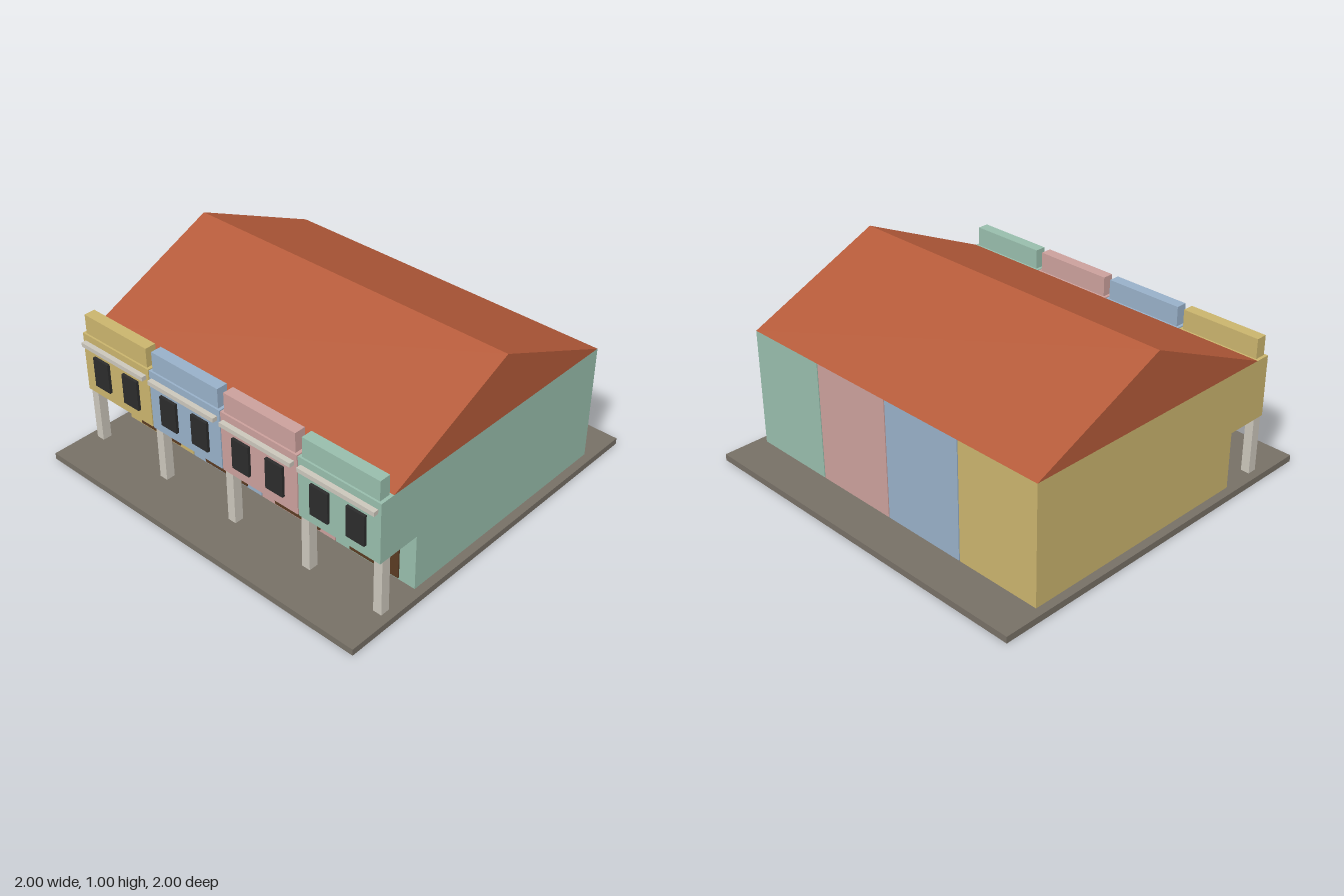
import * as THREE from 'three';

const paint = (name, color) => {
  const m = new THREE.MeshStandardMaterial({ color });
  m.name = name;
  return m;
};

// Box given by its lower and upper corners
function box(name, mat, [x0, y0, z0], [x1, y1, z1]) {
  const mesh = new THREE.Mesh(new THREE.BoxGeometry(x1 - x0, y1 - y0, z1 - z0), mat);
  mesh.position.set((x0 + x1) / 2, (y0 + y1) / 2, (z0 + z1) / 2);
  mesh.name = name;
  return mesh;
}

// Side profile of [z, y] points, extruded along x from x0
function sideExtrude(name, mat, points, x0, width) {
  const shape = new THREE.Shape(points.map(([z, y]) => new THREE.Vector2(-z, y)));
  const geo = new THREE.ExtrudeGeometry(shape, { depth: width, bevelEnabled: false });
  geo.rotateY(Math.PI / 2);
  geo.translate(x0, 0, 0);
  const mesh = new THREE.Mesh(geo, mat);
  mesh.name = name;
  return mesh;
}

export function createModel() {
  const group = new THREE.Group();
  group.name = 'shophouseRow';

  const paving = paint('paving grey', 0x777066);
  const tile = paint('roof terracotta', 0xb45a39);
  const stone = paint('pale stone', 0xcbc6bb);
  const glass = paint('dark window', 0x2c2c2c);
  const wood = paint('brown door', 0x5a3b22);
  const walls = [
    paint('yellow wall', 0xcab46d),
    paint('blue wall', 0x98b0c8),
    paint('pink wall', 0xcba09c),
    paint('green wall', 0x98bdac),
  ];

  const ground = 0.035, floor = 0.34, eave = 0.667;
  const pitch = 0.479, width = 0.473, left = -0.955;

  group.add(box('pavement', paving, [-1, 0, -1], [1, ground, 1]));

  // Shared gable roof
  group.add(sideExtrude('roof', tile, [[0.7, eave], [-0.04, 1], [-0.78, eave]], left, 1.91));

  const addPillar = (x) =>
    group.add(box('pillar', stone, [x, ground, 0.715], [x + 0.047, floor, 0.765]));

  walls.forEach((wall, i) => {
    const x0 = left + i * pitch;
    const cx = x0 + width / 2;
    const unit = new THREE.Group();
    unit.name = 'shophouse' + (i + 1);

    // Body with the upper floor overhanging the walkway
    unit.add(sideExtrude('body', wall, [
      [-0.78, ground], [0.54, ground], [0.54, floor],
      [0.78, floor], [0.78, eave], [-0.78, eave],
    ], x0, width));

    unit.add(box('parapet', wall, [cx - 0.22, eave, 0.71], [cx + 0.22, 0.772, 0.77]));
    unit.add(box('ledge', stone, [cx - 0.22, 0.607, 0.78], [cx + 0.22, 0.63, 0.807]));
    unit.add(box('door', wood, [cx - 0.145, 0.047, 0.54], [cx + 0.145, 0.277, 0.548]));
    for (const s of [-1, 1]) {
      const wx = cx + s * 0.105;
      unit.add(box('window', glass, [wx - 0.053, 0.4, 0.78], [wx + 0.053, 0.565, 0.795]));
    }
    group.add(unit);
    addPillar(x0);
  });
  addPillar(0.955 - 0.047);

  return group;
}
